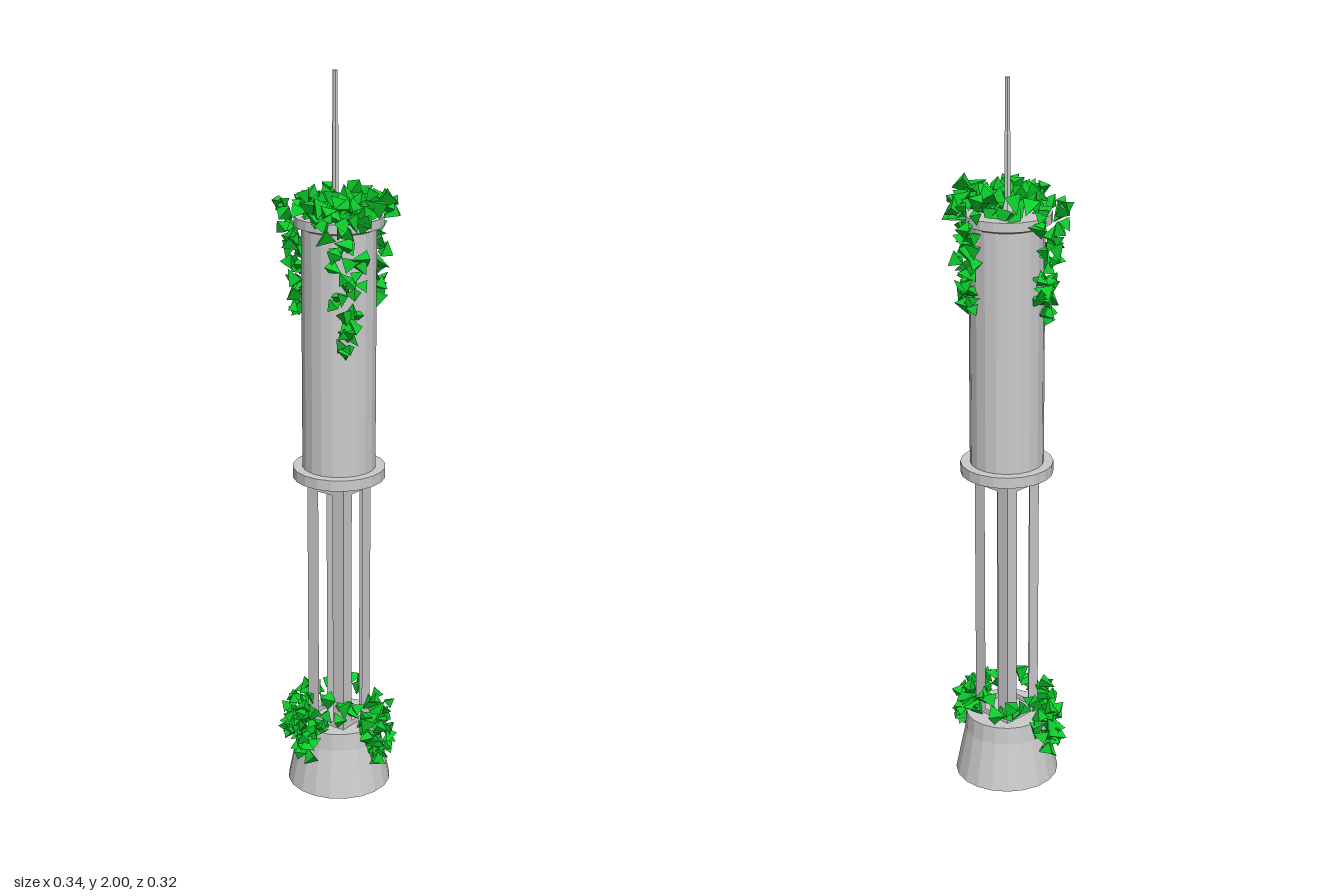
import * as THREE from 'three';
import { mergeGeometries } from 'three/addons/utils/BufferGeometryUtils.js';

const grey = new THREE.MeshStandardMaterial({ color: 0xcccccc, flatShading: true, side: THREE.DoubleSide });
const green = new THREE.MeshStandardMaterial({ color: 0x0ccc2c, flatShading: true });
const CX = -0.008, CZ = -0.017; // tower axis
const SIDES = 20;

// Small seeded random generator
let seed = 7;
function rand(a = 0, b = 1) {
  seed = (seed * 16807) % 2147483647;
  return a + (b - a) * (seed / 2147483647);
}

function add(parent, name, geometry, material = grey) {
  const mesh = new THREE.Mesh(geometry, material);
  mesh.name = name;
  parent.add(mesh);
  return mesh;
}

function lathe(points, sides = SIDES) {
  return new THREE.LatheGeometry(points.map(([r, y]) => new THREE.Vector2(r, y)), sides);
}

// One three-sided leaf, turned at random
function leaf(x, y, z, size) {
  const g = new THREE.ConeGeometry(0.022 * size, 0.042 * size, 3);
  g.rotateX(rand(0, 6.28)).rotateY(rand(0, 6.28)).rotateZ(rand(0, 6.28));
  return g.translate(x, y, z);
}

// Vine hanging down a wall at the given angle (0 = front, towards +x)
function vine(angle, radius, yTop, yBottom, count, spread) {
  const leaves = [];
  for (let i = 0; i < count; i++) {
    const t = i / (count - 1);
    const a = angle + rand(-1, 1) * spread * (1 - 0.65 * t);
    const r = radius(t) + rand(-0.006, 0.016);
    leaves.push(leaf(Math.sin(a) * r, yTop + (yBottom - yTop) * t, Math.cos(a) * r, rand(0.75, 1.2)));
  }
  return mergeGeometries(leaves);
}

// Leaves scattered over a flat ring
function scatter(count, rMin, rMax, yMin, yMax, sMin, sMax) {
  const leaves = [];
  for (let i = 0; i < count; i++) {
    const a = i * 2.39996;
    const r = Math.sqrt(rand(rMin * rMin, rMax * rMax));
    leaves.push(leaf(Math.sin(a) * r, rand(yMin, yMax), Math.cos(a) * r, rand(sMin, sMax)));
  }
  return mergeGeometries(leaves);
}

export function createModel() {
  seed = 7;
  const model = new THREE.Group();
  model.name = 'overgrownTower';
  const tower = new THREE.Group();
  tower.name = 'tower';
  tower.position.set(CX, 0, CZ);
  model.add(tower);

  // Flared base, open underneath
  add(tower, 'base', lathe([[0.145, 0], [0.125, 0.1], [0.118, 0.135], [0.115, 0.185], [0, 0.185]]));

  // Square shaft of four thin walls with tall windows, corners facing the axes
  const D = 0.087, W = D * Math.SQRT2, post = 0.037;
  const wall = new THREE.Shape();
  wall.moveTo(-W / 2, 0.18).lineTo(W / 2, 0.18).lineTo(W / 2, 0.92).lineTo(-W / 2, 0.92);
  const w = W / 2 - post;
  const hole = new THREE.Path();
  hole.moveTo(-w, 0.2).lineTo(-w, 0.88).lineTo(w, 0.88).lineTo(w, 0.2);
  wall.holes.push(hole);
  const shaft = new THREE.Group();
  shaft.name = 'shaft';
  tower.add(shaft);
  for (let i = 0; i < 4; i++) {
    const g = new THREE.ShapeGeometry(wall).translate(0, 0, W / 2).rotateY(Math.PI / 4 + i * Math.PI / 2);
    add(shaft, 'shaftWall', g);
  }

  // Lower flange, cylinder body and top rim
  add(tower, 'lowerFlange', lathe([[0, 0.915], [0.126, 0.915], [0.126, 0.945], [0.1, 0.945]]));
  add(tower, 'body', lathe([[0.1, 0.94], [0.1, 1.61]]));
  add(tower, 'topRim', lathe([[0.1, 1.605], [0.119, 1.613], [0.119, 1.638], [0, 1.638]]));

  // Stepped antenna near the back of the roof
  const antenna = add(tower, 'antenna', lathe(
    [[0.016, 1.638], [0.016, 1.66], [0.009, 1.685], [0.009, 1.86], [0.007, 1.865], [0.007, 2], [0, 2]], 6));
  antenna.position.z = -0.075;

  // Foliage on the roof, with three vines hanging from it
  const roof = new THREE.Group();
  roof.name = 'roofFoliage';
  tower.add(roof);
  const crown = scatter(64, 0.02, 0.118, 1.645, 1.69, 0.85, 1.4);
  crown.translate(0.004, 0, 0.016);
  add(roof, 'crownLeaves', crown, green);
  const overRim = (t) => 0.112 + 0.028 * Math.max(0, 1 - t * 1.6);
  for (const [angle, bottom, count] of [[0, 1.29, 38], [2.05, 1.39, 38], [-2.1, 1.37, 38]]) {
    add(roof, 'hangingVine', vine(angle, overRim, 1.675, bottom, count, 0.5), green);
  }

  // Foliage around the foot, spilling over the base in three places
  const foot = new THREE.Group();
  foot.name = 'footFoliage';
  tower.add(foot);
  add(foot, 'footLeaves', scatter(34, 0.07, 0.11, 0.19, 0.265, 0.8, 1.25), green);
  const overBase = (t) => 0.122 + 0.018 * t;
  for (const [angle, bottom, count] of [[0.87, 0.09, 30], [-0.9, 0.13, 24], [-2.2, 0.1, 30]]) {
    add(foot, 'footVine', vine(angle, overBase, 0.24, bottom, count, 0.55), green);
  }
  return model;
}
